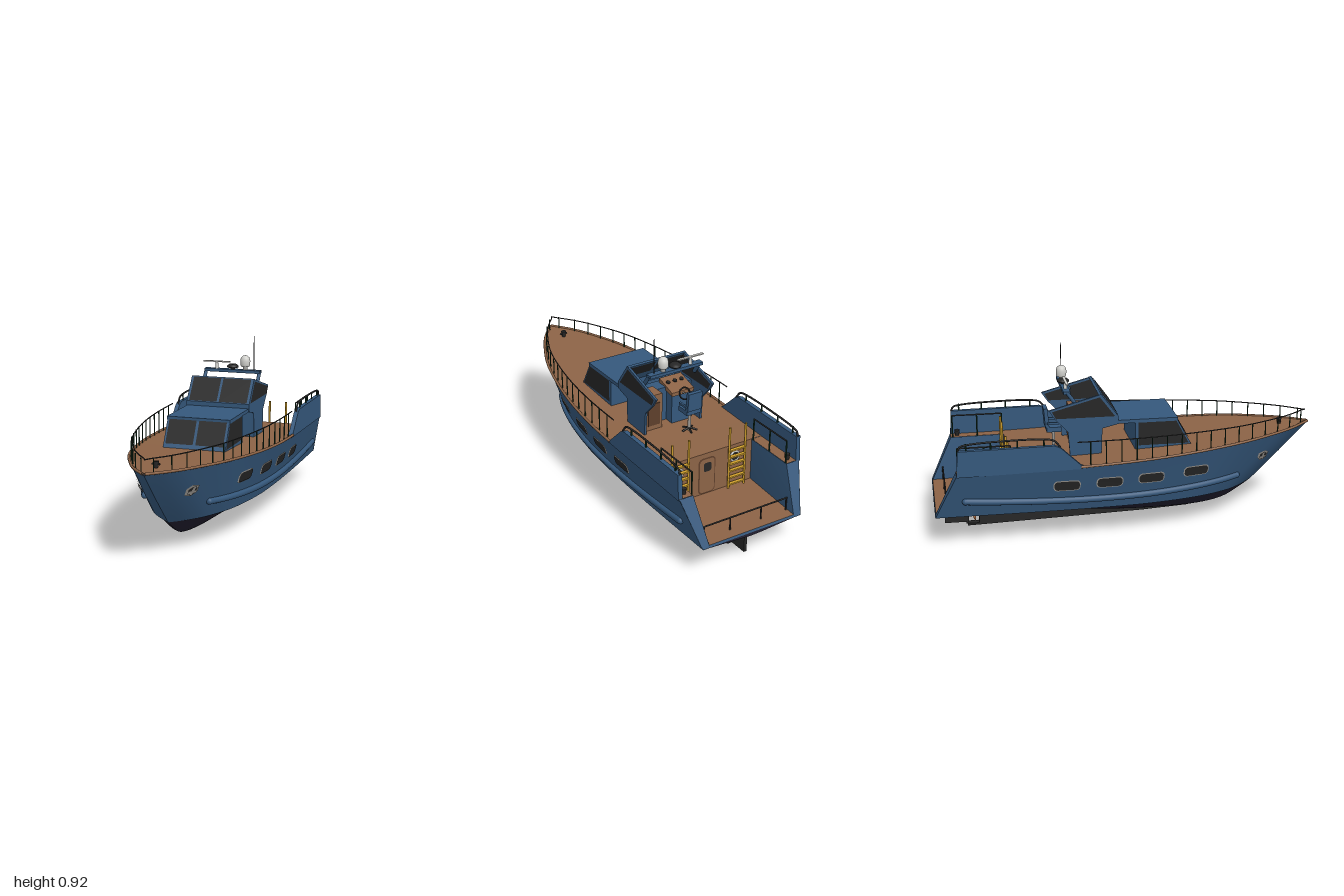
import * as THREE from 'three';

const mat = (name, color) => {
  const m = new THREE.MeshStandardMaterial({ color, side: THREE.DoubleSide });
  m.name = name;
  return m;
};
const lerp = THREE.MathUtils.lerp;
const V = (x, y, z) => new THREE.Vector3(x, y, z);

// smooth curve through [key, value] pairs with rising keys
const curve = (p) => (k) => {
  const n = p.length - 1;
  const slope = (i) => {
    const a = p[Math.max(i - 1, 0)], b = p[Math.min(i + 1, n)];
    return (b[1] - a[1]) / (b[0] - a[0]);
  };
  k = THREE.MathUtils.clamp(k, p[0][0], p[n][0]);
  let i = 0;
  while (i < n - 1 && k > p[i + 1][0]) i++;
  const h = p[i + 1][0] - p[i][0], t = (k - p[i][0]) / h, t2 = t * t, t3 = t2 * t;
  return (2 * t3 - 3 * t2 + 1) * p[i][1] + (t3 - 2 * t2 + t) * h * slope(i)
    + (3 * t2 - 2 * t3) * p[i + 1][1] + (t3 - t2) * h * slope(i + 1);
};

// hull lines: deck edge height, deck half width, chine half width, keel height
const sheer = curve([[-1, 0.388], [-0.6, 0.395], [-0.27, 0.405], [0, 0.415], [0.3, 0.43], [0.6, 0.448], [1, 0.467]]);
const deckW = curve([[-1, 0.345], [-0.6, 0.348], [-0.2, 0.35], [0, 0.343], [0.2, 0.323], [0.4, 0.287], [0.6, 0.233], [0.8, 0.143], [0.9, 0.082], [1, 0]]);
const chineW = curve([[0, 0], [0.05, 0.085], [0.1, 0.145], [0.2, 0.213], [0.35, 0.262], [0.5, 0.28], [0.7, 0.287], [1, 0.285]]);
const keelY = curve([[-0.99, 0.14], [-0.6, 0.095], [-0.3, 0.06], [0, 0.036], [0.3, 0.034], [0.45, 0.046], [0.55, 0.072], [0.62, 0.112], [0.69, 0.157]]);
const CHINE = 0.157;
const hullSide = (u, t) => {
  const zd = lerp(1, -0.88, u), z = lerp(zd, lerp(0.69, -0.99, u), t);
  return V(lerp(deckW(zd), chineW(u), t), lerp(sheer(z), CHINE, t), z);
};
const hullX = (z, y) => {
  const t = (sheer(z) - y) / (sheer(z) - CHINE), bow = lerp(1, 0.69, t), stern = lerp(-0.88, -0.99, t);
  const u = (bow - z) / (bow - stern);
  return lerp(deckW(lerp(1, -0.88, u)), chineW(u), t);
};

export function createModel() {
  const root = new THREE.Group();
  root.name = 'motorYacht';
  const blue = mat('hullBlue', 0x35587c), bottom = mat('bottomDark', 0x221f30), wood = mat('teak', 0x8c6346),
    black = mat('blackGlass', 0x262626), metal = mat('steel', 0x9c9892), white = mat('white', 0xd2d2ce),
    yellow = mat('yellow', 0xcf9f2c), green = mat('darkGreen', 0x12331f), bronze = mat('bronze', 0x9a6038),
    dark = mat('darkWood', 0x5e3f2b);

  const add = (name, geo, m, x = 0, y = 0, z = 0) => {
    const o = new THREE.Mesh(geo, m);
    o.name = name;
    o.position.set(x, y, z);
    root.add(o);
    return o;
  };
  const box = (name, m, w, h, d, x, y, z) => add(name, new THREE.BoxGeometry(w, h, d), m, x, y, z);
  const cyl = (name, m, r0, r1, h, x, y, z, n = 16) => add(name, new THREE.CylinderGeometry(r0, r1, h, n), m, x, y, z);
  const tube = (name, m, pts, r, n = 60) => add(name, new THREE.TubeGeometry(new THREE.CatmullRomCurve3(pts), n, r, 8), m);
  const rod = (name, m, a, b, r) => add(name, new THREE.TubeGeometry(new THREE.LineCurve3(a, b), 1, r, 8), m);
  // flat convex face from corner points [x, y, z]
  const face = (name, m, ...c) => {
    const g = new THREE.BufferGeometry();
    g.setAttribute('position', new THREE.Float32BufferAttribute(c.flat(), 3));
    g.setIndex(c.slice(2).flatMap((_, i) => [0, i + 1, i + 2]));
    g.computeVertexNormals();
    return add(name, g, m);
  };
  // curved skin from a point function
  const skin = (name, m, fn, nu, nv, flip) => {
    const pos = [], idx = [];
    for (let i = 0; i <= nu; i++) for (let j = 0; j <= nv; j++) pos.push(...fn(i / nu, j / nv).toArray());
    for (let i = 0; i < nu; i++) for (let j = 0; j < nv; j++) {
      const a = i * (nv + 1) + j, b = a + nv + 1;
      idx.push(...(flip ? [a, b, a + 1, b, b + 1, a + 1] : [a, a + 1, b, b, a + 1, b + 1]));
    }
    const g = new THREE.BufferGeometry();
    g.setAttribute('position', new THREE.Float32BufferAttribute(pos, 3));
    g.setIndex(idx);
    g.computeVertexNormals();
    return add(name, g, m);
  };
  // side profile of [z, y] points, extruded across x0..x1
  const profile = (name, m, pts, x0, x1) => {
    const s = new THREE.Shape(pts.map(([z, y]) => new THREE.Vector2(-z, y)));
    const g = new THREE.ExtrudeGeometry(s, { depth: x1 - x0, bevelEnabled: false });
    return add(name, g.rotateY(Math.PI / 2).translate(x0, 0, 0), m);
  };
  const roundRect = (w, h, r) => {
    const s = new THREE.Shape(), q = Math.PI / 2;
    [[1, 1], [-1, 1], [-1, -1], [1, -1]].forEach(([a, b], i) =>
      s.absarc(a * (w / 2 - r), b * (h / 2 - r), r, i * q, (i + 1) * q, false));
    return s;
  };
  // thin shape laid on the hull side
  const onHull = (name, m, shape, s, z, y, off) => {
    const g = new THREE.ShapeGeometry(shape, 8), p = g.attributes.position;
    for (let i = 0; i < p.count; i++) {
      const zz = z - p.getX(i), yy = y + p.getY(i);
      p.setXYZ(i, s * (hullX(zz, yy) + off), yy, zz);
    }
    g.computeVertexNormals();
    add(name, g, m);
  };

  for (const s of [1, -1]) {
    // hull skin and bottom
    skin('hullSide', blue, (u, t) => { const p = hullSide(u ** 1.4, t); p.x *= s; return p; }, 48, 8, s > 0);
    skin('hullBottom', bottom, (a, v) => {
      const u = a ** 1.6, z = lerp(0.69, -0.99, u);
      return V(s * chineW(u) * (1 - v), lerp(CHINE, keelY(z), lerp(v, v * v * (3 - 2 * v), 0.6)), z);
    }, 48, 10, s > 0);

    // raised aft bulwark, quarter faces, side deck and cockpit wall
    profile('bulwark', blue, [[-0.24, 0.395], [-0.27, 0.415], [-0.37, 0.51], [-0.4, 0.522], [-0.872, 0.518], [-0.88, 0.385]],
      s > 0 ? 0.328 : -0.351, s > 0 ? 0.351 : -0.328);
    face('transomQuarter', blue, [s * 0.345, 0.39, -0.88], [s * 0.27, 0.39, -0.88], [s * 0.245, 0.155, -0.99], [s * 0.285, 0.155, -0.99]);
    face('cockpitSide', blue, [s * 0.27, 0.393, -0.6], [s * 0.27, 0.39, -0.88], [s * 0.245, 0.157, -0.99], [s * 0.27, 0.157, -0.6]);
    face('sideDeck', wood, [s * 0.27, 0.394, -0.6], [s * 0.345, 0.394, -0.6], [s * 0.345, 0.391, -0.88], [s * 0.27, 0.391, -0.88]);

    // gunwale cap and rub strake
    const edge = [], rail = [], strake = [];
    for (let i = 0; i <= 24; i++) {
      const z = lerp(0.995, -0.27, (i / 24) ** 1.2);
      edge.push(V(s * deckW(z), sheer(z), z));
      rail.push(V(s * Math.max(deckW(z) - 0.012, 0), 0.53, z - 0.015));
      const k = i / 24, zs = lerp(0.57, -0.84, k), ys = 0.215 + 0.03 * (2 * k - 1) ** 2;
      strake.push(V(s * (hullX(zs, ys) + 0.004), ys, zs));
    }
    tube('gunwaleCap', wood, edge, 0.007);
    tube('bowRail', black, rail, 0.003);
    tube('rubStrake', blue, strake, 0.017);
    for (const e of [strake[0], strake[24]]) add('strakeEnd', new THREE.SphereGeometry(0.017, 12, 8), blue, e.x, e.y, e.z);
    for (let z = 0.95; z > -0.28; z -= 0.078)
      rod('railPost', green, V(s * (deckW(z) - 0.012), sheer(z), z), V(s * (deckW(z) - 0.012), 0.53, z), 0.003);

    // aft rails on the bulwark and beside the cockpit
    tube('aftRail', black, [[-0.37, 0.51], [-0.4, 0.545], [-0.45, 0.555], [-0.65, 0.557], [-0.82, 0.548], [-0.86, 0.538], [-0.87, 0.515]]
      .map(([z, y]) => V(s * 0.338, y, z)), 0.005);
    for (const z of [-0.45, -0.58, -0.71, -0.83]) rod('aftRailPost', green, V(s * 0.338, 0.515, z), V(s * 0.338, 0.553, z), 0.004);
    rod('cockpitRail', black, V(s * 0.272, 0.51, -0.61), V(s * 0.272, 0.51, -0.87), 0.004);
    for (const z of [-0.61, -0.74, -0.87]) rod('cockpitRailPost', green, V(s * 0.272, 0.39, z), V(s * 0.272, 0.51, z), 0.004);
    cyl('sternBollard', black, 0.014, 0.01, 0.03, s * 0.3, 0.405, -0.845);

    // hull windows and anchors
    for (const [z, y] of [[0.33, 0.322], [0.092, 0.312], [-0.122, 0.307], [-0.338, 0.303]]) {
      onHull('windowRim', metal, roundRect(0.136, 0.058, 0.022), s, z, y, 0.004);
      onHull('hullWindow', black, roundRect(0.126, 0.049, 0.019), s, z, y, 0.007);
    }
    const plate = (k) => new THREE.Shape([[-0.034, 0.012], [-0.012, 0.03], [0.03, 0.022], [0.034, -0.008], [0.012, -0.03], [-0.022, -0.022]]
      .map(([a, b]) => new THREE.Vector2(a * k, b * k)));
    onHull('anchorPlate', metal, plate(1), s, 0.72, 0.332, 0.006);
    onHull('anchorPocket', black, plate(0.68), s, 0.72, 0.332, 0.009);
    onHull('anchorShank', metal, roundRect(0.014, 0.05, 0.005), s, 0.72, 0.332, 0.013);
    onHull('anchorFluke', metal, roundRect(0.046, 0.013, 0.005), s, 0.72, 0.324, 0.013);

    // ladder from cockpit to deck, with porthole behind
    for (const x of [0.12, 0.215]) rod('ladderRail', yellow, V(s * x, 0.16, -0.62), V(s * x, 0.51, -0.62), 0.006);
    for (let i = 0; i < 6; i++) box('ladderRung', yellow, 0.095, 0.008, 0.018, s * 0.1675, 0.19 + i * 0.038, -0.62);
    add('portholeRim', new THREE.TorusGeometry(0.026, 0.005, 8, 24), white, s * 0.167, 0.33, -0.603);
    add('porthole', new THREE.CircleGeometry(0.025, 24), black, s * 0.167, 0.33, -0.604);

    // forward cabin side window and front window
    const cx = s * 0.166;
    face('cabinSideWindow', black, [cx, 0.437, 0.313], [cx, 0.437, 0.05], [cx, 0.56, 0.05], [cx, 0.56, 0.247]);
    const slope = (x, t) => [s * x, 0.42 + 0.15 * t + 0.002, 0.335 - 0.085 * t + 0.003];
    face('cabinFrontWindow', black, slope(0.007, 0.2), slope(0.152, 0.2), slope(0.152, 0.95), slope(0.007, 0.95));

    // helm station side wall and its window on both faces
    profile('helmSide', blue, [[-0.052, 0.56], [-0.052, 0.6], [-0.14, 0.718], [-0.405, 0.645], [-0.375, 0.6], [-0.31, 0.53], [-0.3, 0.4], [-0.14, 0.4], [-0.135, 0.54]],
      s > 0 ? 0.16 : -0.172, s > 0 ? 0.172 : -0.16);
    for (const x of [0.158, 0.174])
      face('helmSideWindow', black, [s * x, 0.602, -0.07], [s * x, 0.705, -0.147], [s * x, 0.639, -0.39], [s * x, 0.602, -0.37]);
    const screen = (x, t, o) => [s * x, 0.6 + 0.12 * t + 0.58 * o, -0.052 - 0.088 * t + 0.81 * o];
    for (const o of [0.003, -0.015])
      face('helmWindscreen', black, screen(0.006, 0.02, o), screen(0.158, 0.02, o), screen(0.158, 0.95, o), screen(0.006, 0.95, o));
    rod('mastLeg', blue, V(s * 0.15, 0.66, -0.26), V(s * 0.15, 0.73, -0.31), 0.01);
  }

  // decks, cockpit floor and bulkhead
  skin('mainDeck', wood, (u, v) => {
    const z = lerp(0.998, -0.6, u ** 1.3);
    return V(deckW(z) * (2 * v - 1), sheer(z), z);
  }, 40, 6, true);
  face('cockpitFloor', wood, [-0.27, 0.168, -0.6], [0.27, 0.168, -0.6], [0.246, 0.168, -0.986], [-0.246, 0.168, -0.986]);
  face('bulkhead', wood, [-0.27, 0.16, -0.6], [0.27, 0.16, -0.6], [0.27, 0.395, -0.6], [-0.27, 0.395, -0.6]);
  face('transomSill', blue, [-0.285, 0.155, -0.99], [0.285, 0.155, -0.99], [0.246, 0.168, -0.986], [-0.246, 0.168, -0.986]);
  face('transomBottom', bottom, [-0.285, CHINE, -0.99], [0.285, CHINE, -0.99], [0, 0.14, -0.99]);
  add('doorFrame', new THREE.ShapeGeometry(roundRect(0.1, 0.2, 0.025)), dark, 0, 0.272, -0.603);
  add('door', new THREE.ShapeGeometry(roundRect(0.086, 0.186, 0.02)), wood, 0, 0.272, -0.606);
  add('doorWindow', new THREE.ShapeGeometry(roundRect(0.045, 0.05, 0.012)), black, 0, 0.322, -0.609);
  rod('sternRail', black, V(-0.245, 0.235, -0.93), V(0.245, 0.235, -0.93), 0.004);
  for (const x of [-0.24, -0.09, 0.09, 0.24]) rod('sternRailPost', black, V(x, 0.168, -0.93), V(x, 0.235, -0.93), 0.004);
  cyl('bowBollard', black, 0.014, 0.009, 0.035, 0, sheer(0.84) + 0.015, 0.84);
  rod('bowCleat', black, V(-0.02, 0.478, 0.84), V(0.02, 0.478, 0.84), 0.005);

  // forward cabin, roof and helm windscreen frame
  profile('forwardCabin', blue, [[0.335, 0.415], [0.25, 0.57], [0.035, 0.57], [0.035, 0.41]], -0.164, 0.164);
  box('cabinRoof', blue, 0.336, 0.018, 0.32, 0, 0.568, 0.095);
  profile('windscreenFrame', blue, [[-0.052, 0.56], [-0.052, 0.6], [-0.14, 0.72], [-0.153, 0.716], [-0.066, 0.592], [-0.066, 0.56]], -0.172, 0.172);

  // helm console, wheel and seat
  box('helmConsole', blue, 0.32, 0.19, 0.08, 0, 0.495, -0.18);
  profile('dashboard', wood, [[-0.16, 0.615], [-0.16, 0.585], [-0.28, 0.56], [-0.28, 0.58]], -0.135, -0.005);
  box('helmPedestal', blue, 0.12, 0.17, 0.06, -0.07, 0.485, -0.24);
  box('cabinet', wood, 0.1, 0.19, 0.09, 0.1, 0.5, -0.23);
  box('cabinetDoor', dark, 0.07, 0.12, 0.006, 0.1, 0.49, -0.276);
  for (const x of [-0.11, -0.07, -0.03]) cyl('gauge', black, 0.011, 0.011, 0.006, x, 0.605, -0.205).rotation.x = -0.28;
  const wheel = add('steeringWheel', new THREE.TorusGeometry(0.03, 0.004, 8, 24), black, -0.07, 0.57, -0.295);
  wheel.rotation.x = 0.4;
  rod('steeringColumn', metal, V(-0.07, 0.565, -0.26), V(-0.07, 0.57, -0.295), 0.005);
  box('seatCushion', blue, 0.08, 0.025, 0.075, -0.05, 0.52, -0.37);
  box('seatBack', blue, 0.08, 0.1, 0.02, -0.05, 0.582, -0.408).rotation.x = -0.08;
  for (const x of [-0.092, -0.008]) box('seatArm', blue, 0.01, 0.012, 0.06, x, 0.555, -0.375);
  cyl('seatPost', metal, 0.008, 0.008, 0.11, -0.05, 0.455, -0.37);
  for (let i = 0; i < 5; i++) {
    const a = i * Math.PI * 0.4;
    rod('seatFoot', black, V(-0.05, 0.418, -0.37), V(-0.05 + 0.04 * Math.cos(a), 0.406, -0.37 + 0.04 * Math.sin(a)), 0.005);
  }

  // mast bar with radar, beacon, dome and aerial
  box('mastBar', blue, 0.31, 0.016, 0.035, 0, 0.728, -0.31);
  cyl('radarPost', white, 0.006, 0.011, 0.05, -0.09, 0.75, -0.31);
  box('radarBar', white, 0.15, 0.006, 0.014, -0.09, 0.774, -0.31);
  const turn = (pts) => new THREE.LatheGeometry(pts.map(([r, y]) => new THREE.Vector2(r, y)), 28);
  add('beacon', turn([[0, 0], [0.012, 0], [0.012, 0.012], [0.03, 0.016], [0.031, 0.024], [0.02, 0.033], [0, 0.034]]), black, 0, 0.73, -0.31);
  add('satelliteDome', turn([[0, 0], [0.012, 0], [0.012, 0.018], [0.022, 0.022], [0.026, 0.03], [0.027, 0.052], [0.023, 0.069], [0.012, 0.079], [0, 0.082]]), white, 0.07, 0.733, -0.31);
  cyl('aerial', black, 0.0015, 0.003, 0.19, 0.12, 0.825, -0.305, 8);

  // skeg, rudder and propeller
  profile('skeg', black, [[0.35, 0.04], [-0.2, 0.07], [-0.76, 0.125], [-0.76, 0.012], [-0.82, 0.012], [-0.82, 0], [0.1, 0.026]], -0.02, 0.02);
  box('rudder', black, 0.016, 0.095, 0.115, 0, 0.064, -0.88);
  rod('rudderStock', black, V(0, 0.005, -0.82), V(0, 0.13, -0.82), 0.007);
  rod('propellerHub', bronze, V(0, 0.062, -0.75), V(0, 0.062, -0.805), 0.01);
  for (let i = 0; i < 3; i++) {
    const g = new THREE.SphereGeometry(1, 12, 8).scale(0.017, 0.022, 0.004).rotateY(0.5).translate(0, 0.024, 0).rotateZ(i * Math.PI * 2 / 3);
    add('propellerBlade', g, bronze, 0, 0.062, -0.785);
  }
  return root;
}
